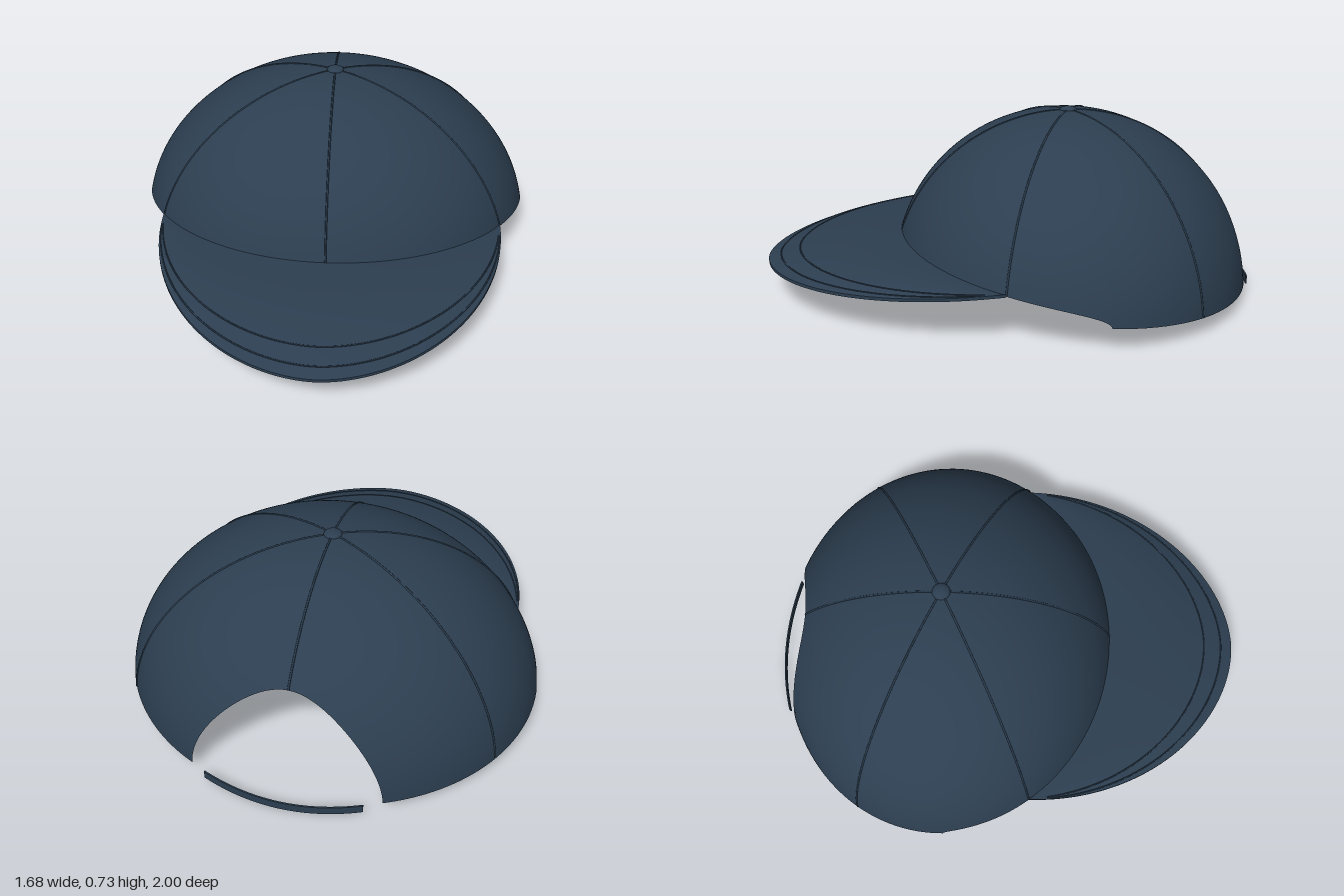
import * as THREE from 'three';
import { toCreasedNormals } from 'three/addons/utils/BufferGeometryUtils.js';
import { ParametricGeometry } from 'three/addons/geometries/ParametricGeometry.js';

const RX = 0.848, RZ = 0.738, H = 0.715, CZ = -0.25; // crown ellipsoid
const ARCH = 0.451; // half angle of the back opening
const SIDE = Math.PI / 2;

// Height of the lower edge; a is the angle from the back (0) to the front (PI)
function rimHeight(a) {
  if (a < ARCH) return 0.045 + 0.395 * Math.pow(1 - (a / ARCH) ** 2, 0.55);
  const c = -Math.cos(a);
  return c < 0 ? 0.095 + 0.055 * c : 0.095 + 0.125 * Math.sqrt(c);
}

// Point on the crown: a = angle from the back, side = 1 or -1, v = 0 apex to 1 rim
function crownPoint(a, side, v, grow = 1) {
  const phi = v * Math.acos(rimHeight(a) / H);
  const r = Math.sin(phi) * grow;
  return new THREE.Vector3(
    side * RX * Math.sin(a) * r,
    H * Math.cos(phi) * (1 + (grow - 1) * 0.5),
    CZ - RZ * Math.cos(a) * r
  );
}

// Columns gather at the opening and at the sides, where the edge bends sharply
function columnAngle(s) {
  if (s <= 0.25) return ARCH * Math.sin(s * 4 * SIDE);
  if (s <= 0.5) return ARCH + (SIDE - ARCH) * (s - 0.25) * 4;
  return SIDE + SIDE * Math.pow((s - 0.5) * 2, 1.5);
}

// Point on the visor: u = along the edge (left to right), t = 0 crown to 1 outer edge
function visorPoint(u, t, lift = 0) {
  const phi = u * Math.PI;
  const c = Math.cos(phi), s = Math.sin(phi);
  const theta = Math.PI * (1 / 6 + (2 / 3) * u);
  const side = theta < SIDE ? 1 : -1;
  const a = SIDE + (side > 0 ? theta : Math.PI - theta);
  const inner = crownPoint(a, side, 1, 0.99);
  const outer = new THREE.Vector3(
    0.71 * Math.sign(c) * Math.pow(Math.abs(c), 1.08), 0.188 - 0.055 * s, 0.11 + 0.89 * s);
  const p = inner.lerp(outer, t);
  p.y += 0.025 * Math.sin(Math.PI * t) * s + lift;
  return p;
}

function tube(points, radius) {
  return new THREE.TubeGeometry(new THREE.CatmullRomCurve3(points), points.length * 3, radius, 6);
}

export function createModel() {
  const group = new THREE.Group();
  const cloth = new THREE.MeshStandardMaterial({ color: 0x2c3e50, side: THREE.DoubleSide });
  const add = (name, geometry) => {
    const mesh = new THREE.Mesh(geometry, cloth);
    mesh.name = name;
    group.add(mesh);
    return mesh;
  };

  // Crown with an arched opening at the back
  const crown = new ParametricGeometry((u, v, target) => {
    u = Math.min(1, Math.max(0, u));
    const right = u > 0.5;
    const a = columnAngle(right ? 2 - 2 * u : 2 * u);
    target.copy(crownPoint(a, right ? -1 : 1, 0.005 + 0.995 * v));
  }, 192, 40);
  crown.computeVertexNormals();
  add('crown', crown);

  // Six panel seams
  for (let i = 0; i < 6; i++) {
    const side = i < 4 ? 1 : -1;
    const a = (i < 4 ? i : i - 3) * Math.PI / 3;
    const points = [];
    for (let k = 0; k <= 16; k++) points.push(crownPoint(a, side, 0.03 + 0.965 * k / 16));
    add('panelSeam', tube(points, 0.004));
  }

  // Button at the apex
  const button = add('topButton', new THREE.SphereGeometry(0.036, 24, 14));
  button.position.set(0, 0.713, CZ);
  button.scale.y = 0.45;

  // Visor: top rows, outer edge, then bottom rows
  const ROWS = 8;
  const visor = new ParametricGeometry((u, v, target) => {
    const k = Math.round(v * (2 * ROWS + 1));
    const top = k <= ROWS;
    target.copy(visorPoint(u, (top ? k : 2 * ROWS + 1 - k) / ROWS, top ? 0.004 : -0.008));
  }, 80, 2 * ROWS + 1);
  add('visor', toCreasedNormals(visor, 0.7));

  // Stitch lines on the visor
  for (const t of [0.77, 0.91]) {
    const points = [];
    for (let k = 0; k <= 40; k++) points.push(visorPoint(0.03 + 0.94 * k / 40, t, 0.004));
    add('visorStitch', tube(points, 0.003));
  }

  // Curved strap across the back opening
  const strap = new THREE.BoxGeometry(0.61, 0.034, 0.006, 32, 1, 1);
  const pos = strap.attributes.position;
  for (let i = 0; i < pos.count; i++) {
    const q = (pos.getX(i) / 0.305) ** 2;
    pos.setY(i, pos.getY(i) + 0.017 + 0.022 * q);
    pos.setZ(i, pos.getZ(i) - 0.997 + 0.048 * q);
  }
  add('backStrap', toCreasedNormals(strap, 0.7));

  return group;
}
